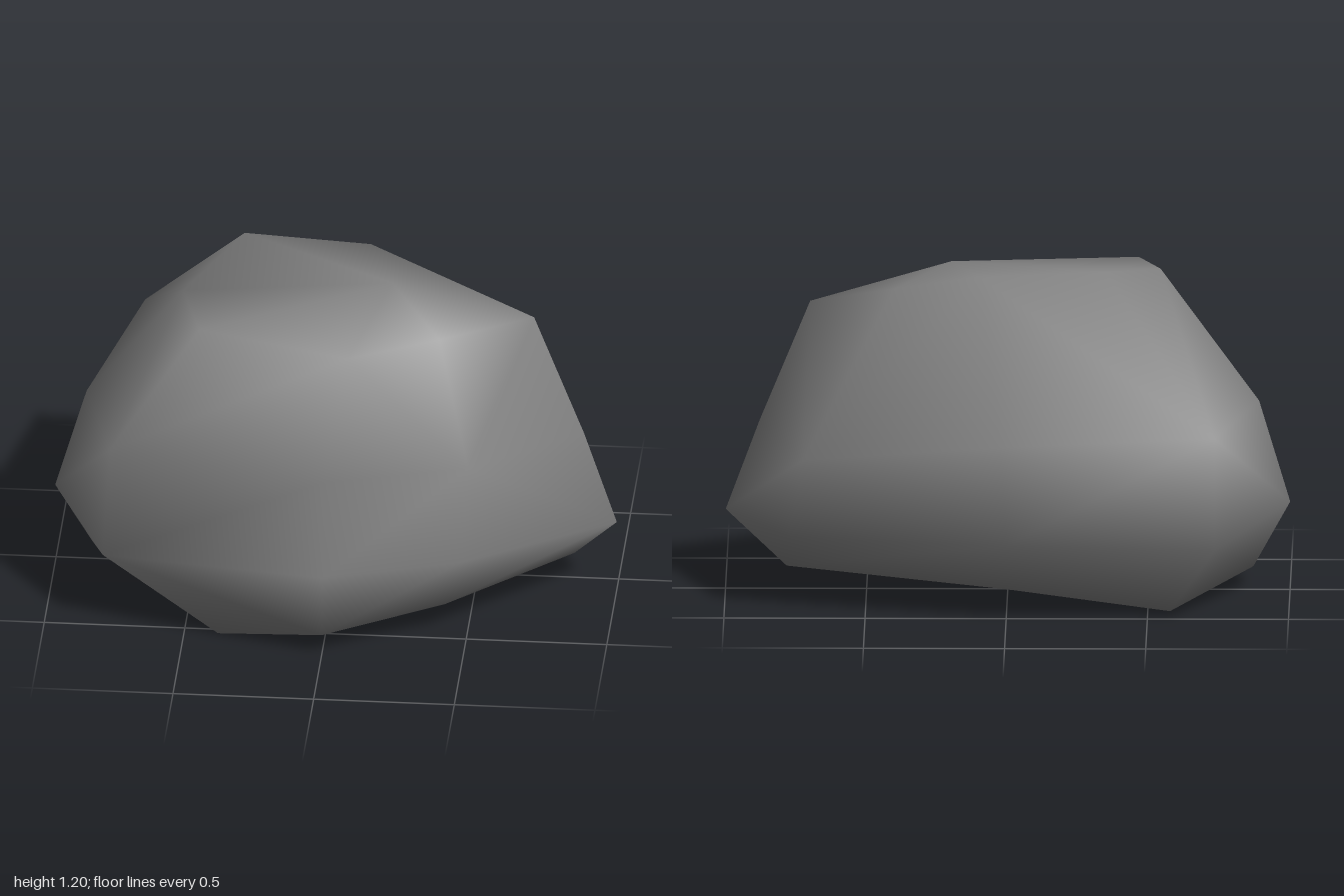
import * as THREE from 'three';

// Boulder cross-sections from bottom to top; each loop runs
// back-left, back, back-right, right, front-right, front, front-left, left.
const RINGS = [
  [[-0.58, 0.02, -0.46], [0, 0.085, -0.4], [0.78, 0.145, -0.29], [0.85, 0.145, 0.09],
    [0.42, 0.11, 0.45], [0, 0.08, 0.665], [-0.38, 0, 0.53], [-0.87, 0.08, 0.02]],
  [[-0.74, 0.27, -0.6], [0, 0.28, -0.58], [0.77, 0.26, -0.34], [1, 0.27, 0.08],
    [0.48, 0.29, 0.47], [0, 0.29, 0.63], [-0.79, 0.29, 0.52], [-1, 0.31, 0.04]],
  [[-0.74, 0.69, -0.67], [0.02, 0.65, -0.64], [0.72, 0.57, -0.49], [0.88, 0.6, 0.04],
    [0.5, 0.64, 0.42], [0, 0.64, 0.57], [-0.77, 0.68, 0.46], [-0.89, 0.68, 0.02]],
  [[-0.35, 1.2, -0.24], [0.1, 1.18, -0.23], [0.4, 1.11, -0.11], [0.7, 1.04, 0.01],
    [0.38, 1.04, 0.21], [0.07, 1.055, 0.41], [-0.46, 1.125, 0.365], [-0.54, 1.14, 0.1]],
];
const BOTTOM = [0, 0.08, 0.03];
const TOP = [0.2, 1.176, 0.05];

function loftRock() {
  const points = [...RINGS.flat(), BOTTOM, TOP].map((p) => new THREE.Vector3(...p));
  const n = RINGS[0].length;
  const bottom = n * RINGS.length;
  const top = bottom + 1;
  const centre = new THREE.Vector3(0, 0.6, 0);
  const index = [];
  // distance of a diagonal's middle from the centre: the farther one keeps the rock convex
  const reach = (i, j) => points[i].clone().add(points[j]).multiplyScalar(0.5).distanceTo(centre);

  for (let r = 0; r < RINGS.length - 1; r++) {
    for (let j = 0; j < n; j++) {
      const k = (j + 1) % n;
      const a = r * n + j, b = r * n + k, c = b + n, d = a + n;
      if (reach(a, c) > reach(b, d)) index.push(a, d, c, a, c, b);
      else index.push(a, d, b, d, c, b);
    }
  }
  // Underside and crown
  const last = n * (RINGS.length - 1);
  for (let j = 0; j < n; j++) {
    const k = (j + 1) % n;
    index.push(bottom, j, k, top, last + k, last + j);
  }
  const geometry = new THREE.BufferGeometry().setFromPoints(points);
  geometry.setIndex(index);
  geometry.computeVertexNormals();
  return geometry;
}

export function createModel() {
  const group = new THREE.Group();
  group.name = 'boulder';
  const stone = new THREE.MeshStandardMaterial({ color: 0x808080 });
  stone.name = 'stone grey';
  const rock = new THREE.Mesh(loftRock(), stone);
  rock.name = 'rock';
  group.add(rock);
  return group;
}
